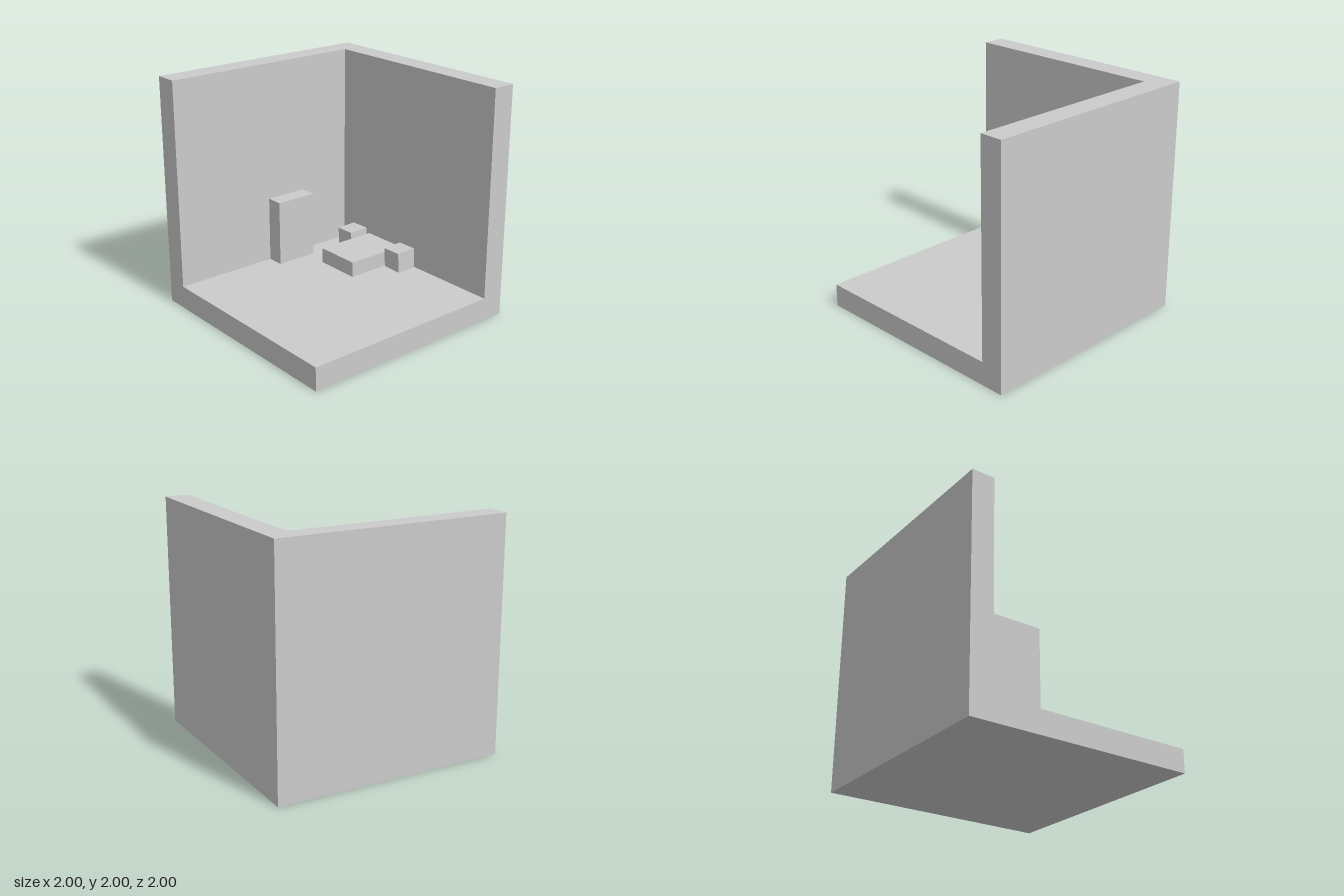
import * as THREE from 'three';

const material = new THREE.MeshStandardMaterial({ color: 0xcccccc, flatShading: true });

// Box given by its [min, max] extents on each axis
function block(name, [x0, x1], [y0, y1], [z0, z1]) {
  const geometry = new THREE.BoxGeometry(x1 - x0, y1 - y0, z1 - z0);
  const mesh = new THREE.Mesh(geometry, material);
  mesh.name = name;
  mesh.position.set((x0 + x1) / 2, (y0 + y1) / 2, (z0 + z1) / 2);
  return mesh;
}

// Room shell: one L-shaped wall standing on the floor slab
function walls() {
  const outline = new THREE.Shape([
    [-1, 0.8], [0.8, 0.8], [0.8, -1], [1, -1], [1, 1], [-1, 1],
  ].map(([x, y]) => new THREE.Vector2(x, y)));
  const geometry = new THREE.ExtrudeGeometry(outline, { depth: 1.8, bevelEnabled: false });
  geometry.rotateX(-Math.PI / 2).translate(0, 0.2, 0);
  const mesh = new THREE.Mesh(geometry, material);
  mesh.name = 'walls';
  return mesh;
}

export function createModel() {
  const room = new THREE.Group();
  room.name = 'bedroom';

  room.add(block('floor', [-1, 1], [0, 0.2], [-1, 1]), walls());

  // Furniture against the walls
  room.add(block('wardrobe', [-0.075, 0.305], [0.2, 0.78], [-0.8, -0.65]));
  room.add(block('bed', [0.24, 0.8], [0.2, 0.335], [-0.445, -0.03]));

  // Slightly crooked nightstands on both sides of the bed
  for (const [name, z] of [['rearNightstand', -0.56], ['frontNightstand', 0.07]]) {
    const stand = block(name, [0.608, 0.792], [0.195, 0.379], [z - 0.092, z + 0.092]);
    stand.rotation.set(-0.03, -0.026, 0.035);
    room.add(stand);
  }

  return room;
}
